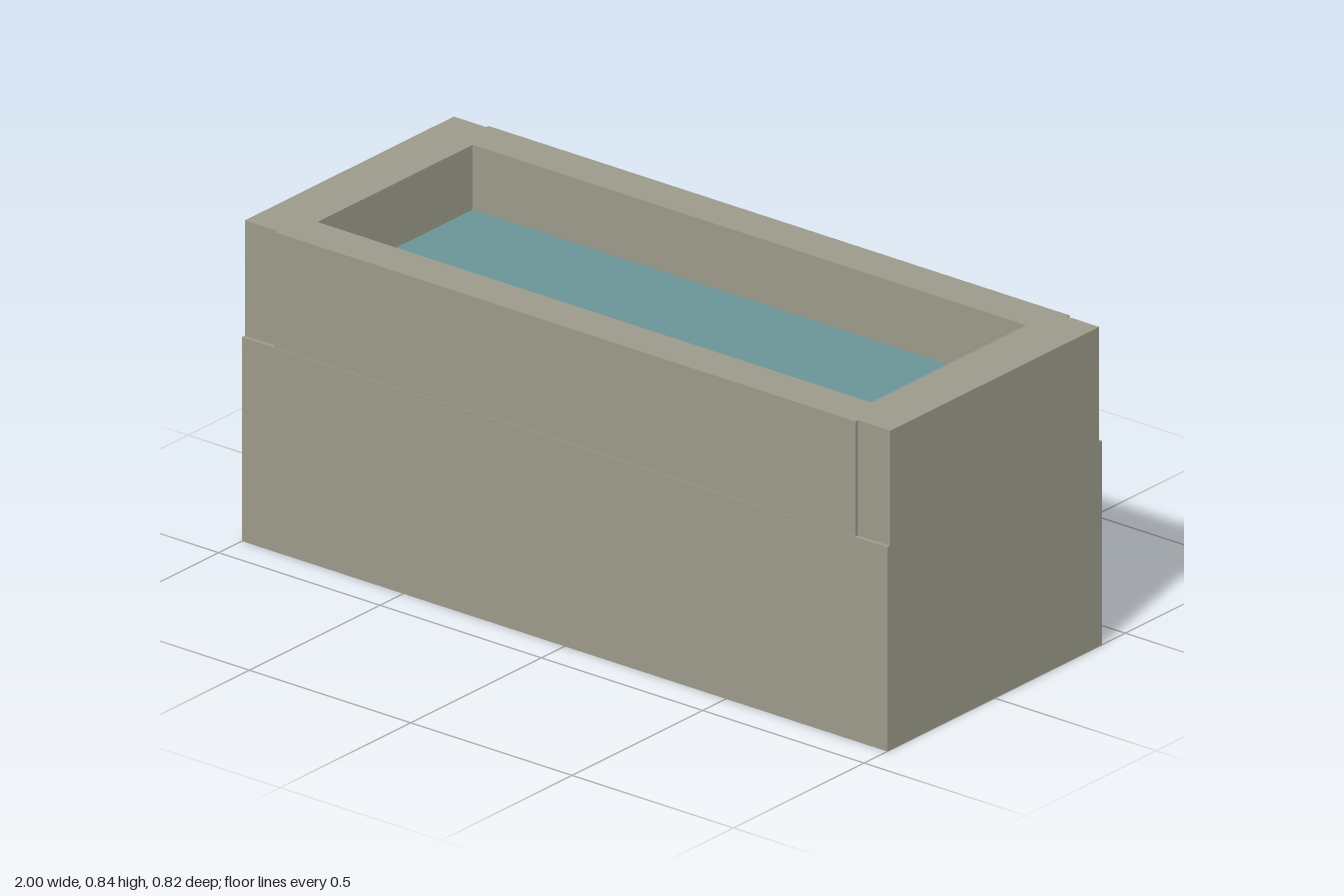
import * as THREE from 'three';

const STEP_Y = 0.537, TOP_Y = 0.84, WATER_Y = 0.67;
const HOLE_X = 0.858, HOLE_Z = 0.297;

export function createModel() {
  const group = new THREE.Group();
  const stone = new THREE.MeshStandardMaterial({ color: 0x9c9a8b });
  const water = new THREE.MeshStandardMaterial({ color: 0x6a9496 });
  stone.name = 'stone';
  water.name = 'water';

  const add = (name, geometry, material, y) => {
    const mesh = new THREE.Mesh(geometry, material);
    mesh.name = name;
    mesh.position.y = y;
    group.add(mesh);
  };

  // Solid lower block
  add('base', new THREE.BoxGeometry(2, STEP_Y, 0.822), stone, STEP_Y / 2);

  // Upper rim: slightly recessed walls, with corners set further back
  const outer = [
    [-1, -0.4], [-0.9, -0.4], [-0.9, -0.409], [0.9, -0.409], [0.9, -0.4], [1, -0.4],
    [1, 0.4], [0.9, 0.4], [0.9, 0.409], [-0.9, 0.409], [-0.9, 0.4], [-1, 0.4],
  ];
  const inner = [[-HOLE_X, -HOLE_Z], [-HOLE_X, HOLE_Z], [HOLE_X, HOLE_Z], [HOLE_X, -HOLE_Z]];
  const toPoints = (list) => list.map(([x, z]) => new THREE.Vector2(x, z));
  const shape = new THREE.Shape(toPoints(outer));
  shape.holes.push(new THREE.Path(toPoints(inner)));
  const rim = new THREE.ExtrudeGeometry(shape, { depth: TOP_Y - STEP_Y, bevelEnabled: false });
  add('rim', rim.rotateX(-Math.PI / 2), stone, STEP_Y);

  // Water surface inside the rim
  const surface = new THREE.PlaneGeometry(HOLE_X * 2, HOLE_Z * 2).rotateX(-Math.PI / 2);
  add('waterSurface', surface, water, WATER_Y);

  return group;
}
